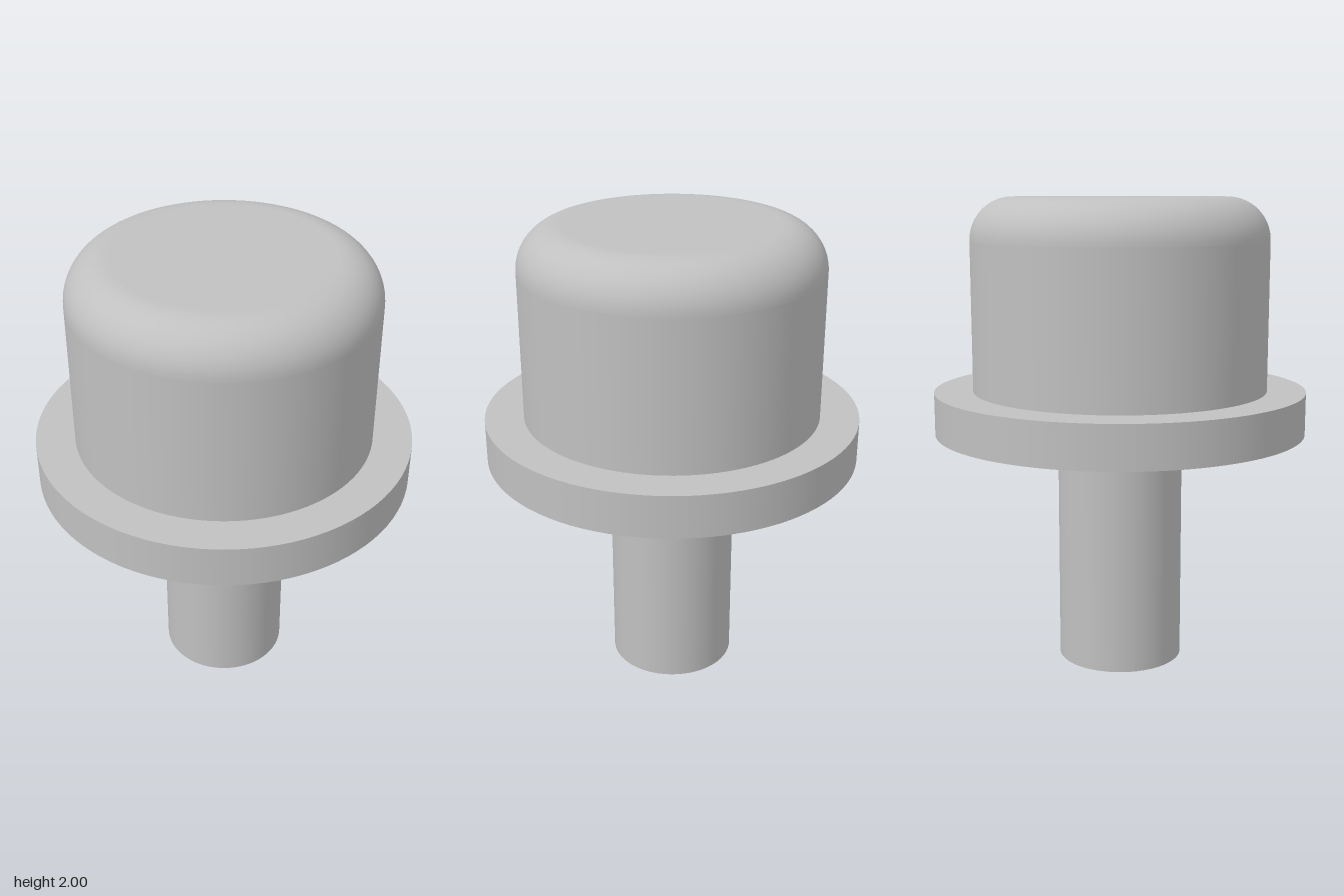
import * as THREE from 'three';

const SEGMENTS = 96;

export function createModel() {
  const model = new THREE.Group();
  const grey = new THREE.MeshStandardMaterial({ color: 0xc0c0c0 });
  grey.name = 'plain grey';

  const add = (name, geometry, y = 0) => {
    const mesh = new THREE.Mesh(geometry, grey);
    mesh.name = name;
    mesh.position.y = y;
    model.add(mesh);
  };
  // Upright disc or rod between two heights
  const rod = (name, radius, bottom, top) =>
    add(name, new THREE.CylinderGeometry(radius, radius, top - bottom, SEGMENTS), (bottom + top) / 2);

  rod('stem', 0.268, 0, 1.01);
  rod('flange', 0.792, 1.01, 1.19);

  // Cap: straight wall, rounded shoulder, flat top
  const radius = 0.628, fillet = 0.18, top = 2;
  const profile = [new THREE.Vector2(radius, 1.19), new THREE.Vector2(radius, top - fillet - 0.002)];
  for (let i = 0; i <= 16; i++) {
    const a = (i / 16) * Math.PI / 2;
    profile.push(new THREE.Vector2(
      radius - fillet + fillet * Math.cos(a),
      top - fillet + fillet * Math.sin(a)));
  }
  profile.push(new THREE.Vector2(radius - fillet - 0.002, top), new THREE.Vector2(0, top));
  add('roundedCap', new THREE.LatheGeometry(profile, SEGMENTS));

  return model;
}
